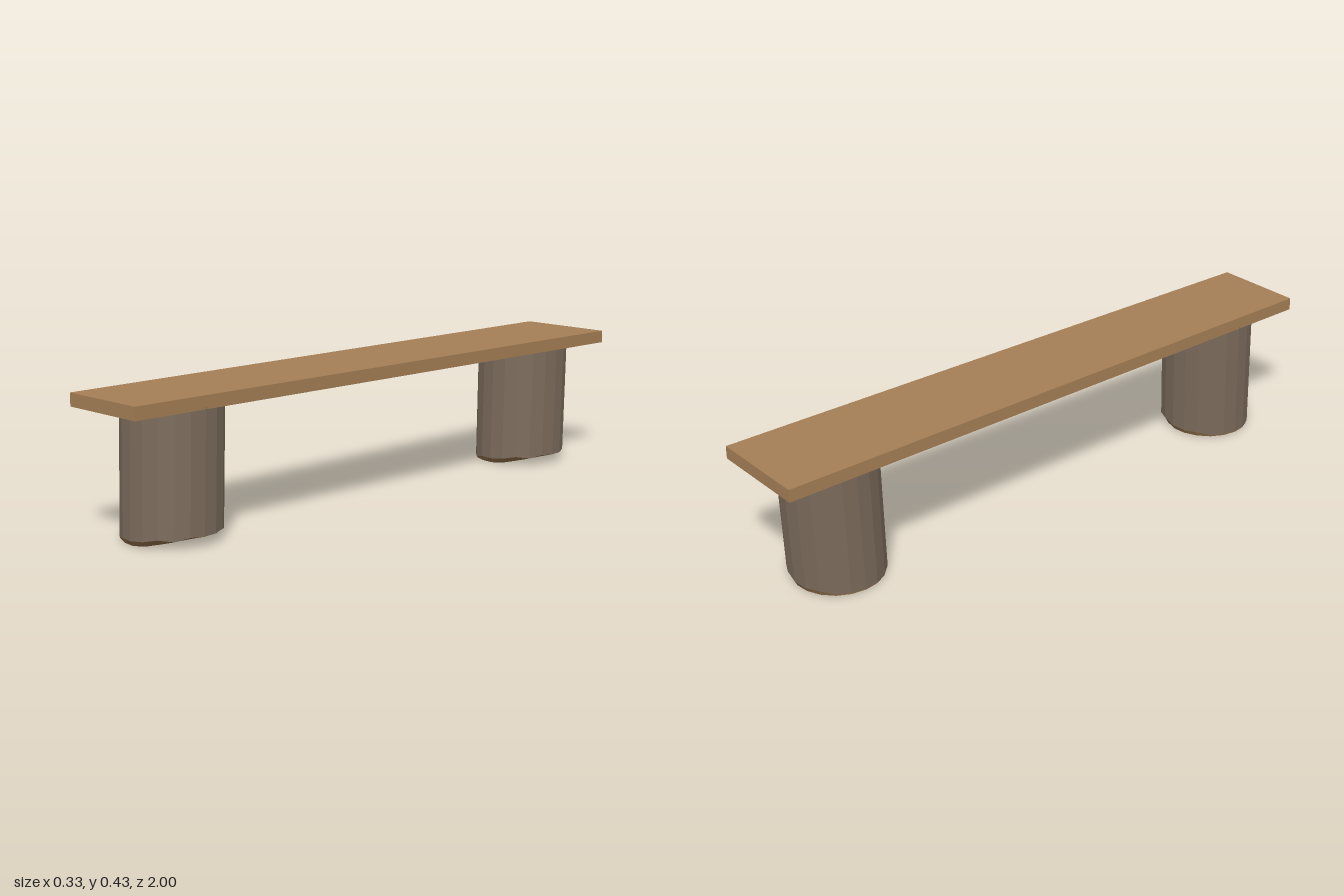
import * as THREE from 'three';

const SIDES = 20;
const material = (name, color) => new THREE.MeshStandardMaterial({ name, color });

// One ring of points: radius and height may vary with the angle index
function ring(cx, cz, radius, height) {
  return Array.from({ length: SIDES }, (_, i) => {
    const a = (i / SIDES) * Math.PI * 2;
    const r = radius(a, i);
    return new THREE.Vector3(cx + Math.cos(a) * r, height(a, i), cz + Math.sin(a) * r);
  });
}

// Flat-shaded skin between an upper and a lower ring
function skin(upper, lower) {
  const pts = [];
  for (let i = 0; i < SIDES; i++) {
    const j = (i + 1) % SIDES;
    pts.push(upper[i], upper[j], lower[j], upper[i], lower[j], lower[i]);
  }
  const g = new THREE.BufferGeometry().setFromPoints(pts);
  g.computeVertexNormals();
  return g;
}

export function createModel() {
  const plankWood = material('plank wood', 0xa47e55);
  const bark = material('bark', 0x7a6a5a);
  const brokenWood = material('broken wood', 0x7e6040);
  const cutWood = material('cut wood', 0x8c7f66);
  const model = new THREE.Group();
  model.name = 'logBench';

  // Plank: slightly tapered towards the front
  const plankGeo = new THREE.BoxGeometry(1, 0.04, 2);
  const p = plankGeo.attributes.position;
  for (let i = 0; i < p.count; i++) {
    p.setX(i, p.getX(i) * (p.getZ(i) > 0 ? 0.296 : 0.326));
  }
  plankGeo.computeVertexNormals();
  const plank = new THREE.Mesh(plankGeo, plankWood);
  plank.name = 'plank';
  plank.position.y = 0.412;
  model.add(plank);

  // Leg rings: the log leans a little, and its foot is chipped towards +x
  const chips = [0, 0.004, -0.003, 0.005, 0];
  const rimY = (a, i) =>
    Math.max(0.003, 0.017 + 0.014 * Math.cos(a) + (Math.cos(a) > -0.6 ? chips[i % 5] : 0));
  const footY = (a) => (Math.cos(a) > 0.3 ? 0.005 + 0.022 * (Math.cos(a) - 0.3) / 0.7 : 0.001);
  const top = ring(0, 0, () => 0.15, () => 0.4);
  const rim = ring(0.005, 0.015, () => 0.149, rimY);
  const foot = ring(0.003, 0.014, (a) => 0.14 - 0.008 * Math.cos(a), footY);
  const centre = ring(0, 0.015, () => 0, () => 0.001);
  const topCentre = ring(0, 0, () => 0, () => 0.4);

  const parts = [
    ['log', skin(top, rim), bark],
    ['logTop', skin(topCentre, top), cutWood],
    ['chippedEdge', skin(rim, foot), brokenWood],
    ['logFoot', skin(foot, centre), cutWood],
  ];

  // Two matching legs
  for (const [name, z] of [['frontLeg', 0.756], ['backLeg', -0.77]]) {
    const leg = new THREE.Group();
    leg.name = name;
    leg.position.z = z;
    for (const [part, geometry, mat] of parts) {
      const mesh = new THREE.Mesh(geometry, mat);
      mesh.name = part;
      leg.add(mesh);
    }
    model.add(leg);
  }
  return model;
}
